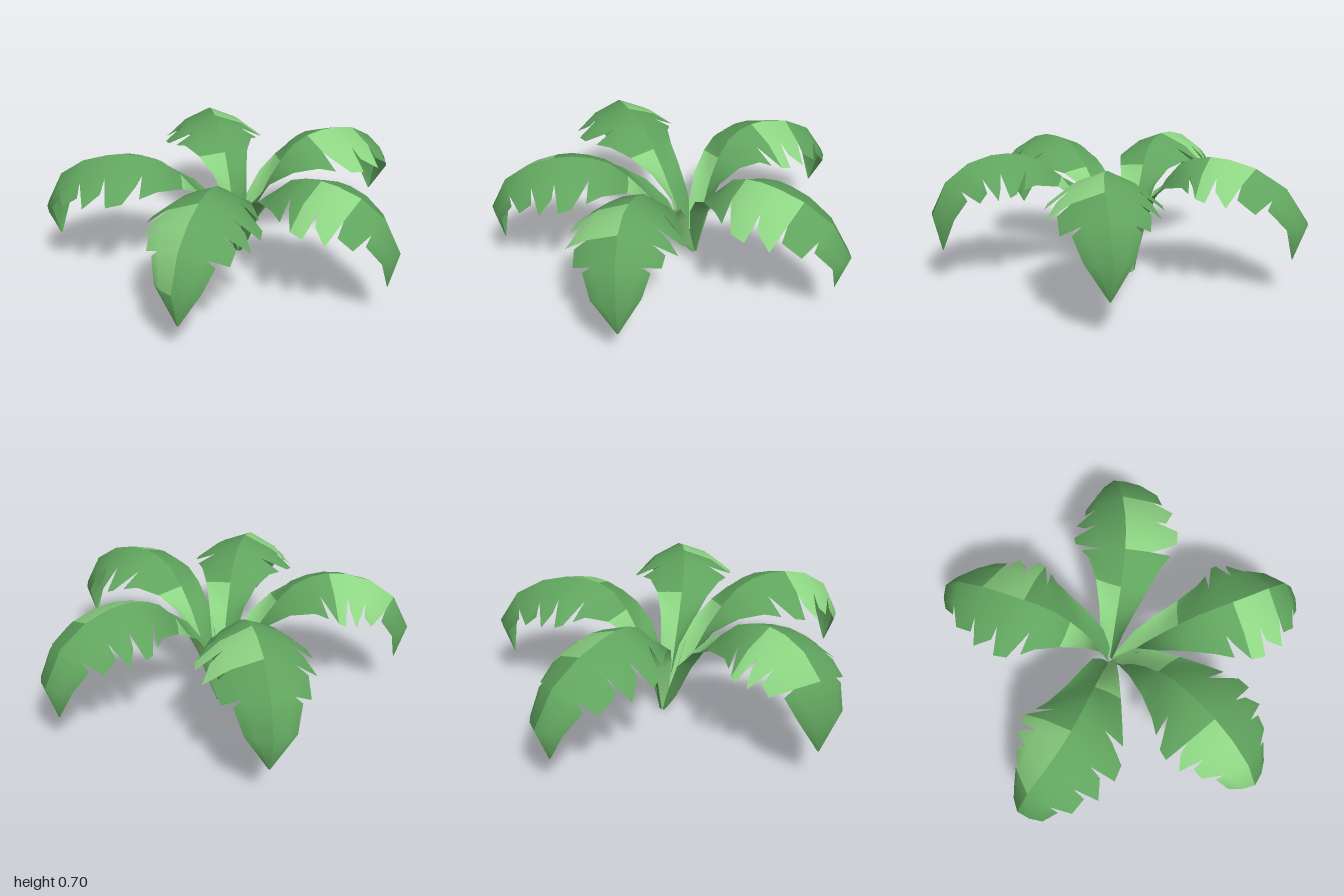
import * as THREE from 'three';

// Midrib stations: [distance along leaf, height, half width, fold depth]
// The stalk is a channel (negative depth); the blade folds down from its rib
const STATIONS = [
  [0, 0, 0.018, -0.01], [0.07, 0.1, 0.035, -0.045], [0.16, 0.31, 0.065, -0.06],
  [0.24, 0.45, 0.1, -0.03], [0.32, 0.56, 0.145, 0.03], [0.41, 0.65, 0.2, 0.1],
  [0.5, 0.69, 0.245, 0.14], [0.59, 0.705, 0.28, 0.16], [0.68, 0.7, 0.29, 0.17],
  [0.8, 0.665, 0.275, 0.165], [0.92, 0.575, 0.21, 0.13], [1, 0.4, 0.12, 0.07],
  [0.955, 0.195, 0.004, 0.002],
];

// Stations where the edge is notched, as far in as this share of the width
const NOTCHES = { 6: 0.8, 8: 0.8, 9: 0.82, 10: 0.78 };

// Each leaf: base, middle and tip as [x, z], bend (higher rises more steeply),
// and the segments of its light patch
const LEAVES = [
  ['frontLeaf', [0.04, -0.135], [-0.09, 0.42], [0, 0.95], 1, [7, 9]],
  ['leftLeaf', [0.06, -0.145], [0.46, 0.1], [1, 0.2], 1.2, [6, 9]],
  ['rightLeaf', [0.03, -0.145], [-0.47, 0.12], [-1, 0.33], 1, [8, 11]],
  ['backLeftLeaf', [0.055, -0.165], [0.26, -0.51], [0.65, -0.94], 1.2, [7, 9]],
  ['backRightLeaf', [0.035, -0.165], [-0.44, -0.46], [-0.73, -0.9], 1.1, [7, 10]],
];

// Midrib points, each with its sideways and outward directions
function makeRib(base, mid, tip, bend) {
  const control = base.map((b, i) => 2 * mid[i] - (b + tip[i]) / 2);
  const curve = new THREE.QuadraticBezierCurve(
    new THREE.Vector2(...base), new THREE.Vector2(...control), new THREE.Vector2(...tip));
  const rib = STATIONS.map(([t, y, width, depth]) => {
    const u = t ** bend, p = curve.getPoint(u), d = curve.getTangent(u);
    return { point: new THREE.Vector3(p.x, y, p.y), side: new THREE.Vector3(d.y, 0, -d.x), width, depth };
  });
  rib.forEach((r, i) => {
    const a = rib[Math.max(i - 1, 0)].point, b = rib[Math.min(i + 1, rib.length - 1)].point;
    r.forward = b.clone().sub(a).normalize();
    r.normal = r.forward.clone().cross(r.side).normalize();
  });
  return rib;
}

// One half of a leaf blade, with a notched edge; sign +1 is its left half
function makeHalf(rib, sign, [lightFrom, lightTo]) {
  const positions = [], index = [], geometry = new THREE.BufferGeometry();
  const add = (r, across, drop, ahead = 0) => {
    const p = r.point.clone().addScaledVector(r.side, sign * r.width * across)
      .addScaledVector(r.normal, -r.depth * drop).addScaledVector(r.forward, ahead);
    return positions.push(p.x, p.y, p.z) / 3 - 1;
  };
  const ribIds = rib.map((r) => add(r, 0, 0));
  const midIds = rib.map((r) => add(r, 0.58, 0.4));
  const quad = (a, b, c, d) => {
    index.push(...(sign > 0 ? [a, b, c, a, c, d] : [a, c, b, a, d, c]));
  };
  let edge = add(rib[0], 1, 1);
  for (let i = 0; i < rib.length - 1; i++) {
    const start = index.length;
    const inset = NOTCHES[i + 1];
    const next = add(rib[i + 1], 1.03, 1.03);
    quad(ribIds[i], ribIds[i + 1], midIds[i + 1], midIds[i]);
    quad(midIds[i], midIds[i + 1], next, edge);
    geometry.addGroup(start, index.length - start, i >= lightFrom && i < lightTo ? 1 : 0);
    edge = inset ? add(rib[i + 1], inset, inset - 0.08, 0.025) : next;
  }
  geometry.setAttribute('position', new THREE.Float32BufferAttribute(positions, 3));
  geometry.setIndex(index);
  geometry.computeVertexNormals();
  return geometry;
}

export function createModel() {
  const green = new THREE.MeshStandardMaterial({ color: 0x60a45e, side: THREE.DoubleSide });
  green.name = 'leaf green';
  const light = new THREE.MeshStandardMaterial({ color: 0x8dd583, side: THREE.DoubleSide });
  light.name = 'light leaf green';

  const plant = new THREE.Group();
  plant.name = 'plant';
  for (const [name, base, mid, tip, bend, patch] of LEAVES) {
    const rib = makeRib(base, mid, tip, bend);
    const leaf = new THREE.Group();
    leaf.name = name;
    // Light stalk on the left half, light patch on the right half
    const left = new THREE.Mesh(makeHalf(rib, 1, [0, 4]), [green, light]);
    left.name = 'leftBlade';
    const right = new THREE.Mesh(makeHalf(rib, -1, patch), [green, light]);
    right.name = 'rightBlade';
    leaf.add(left, right);
    plant.add(leaf);
  }
  return plant;
}
